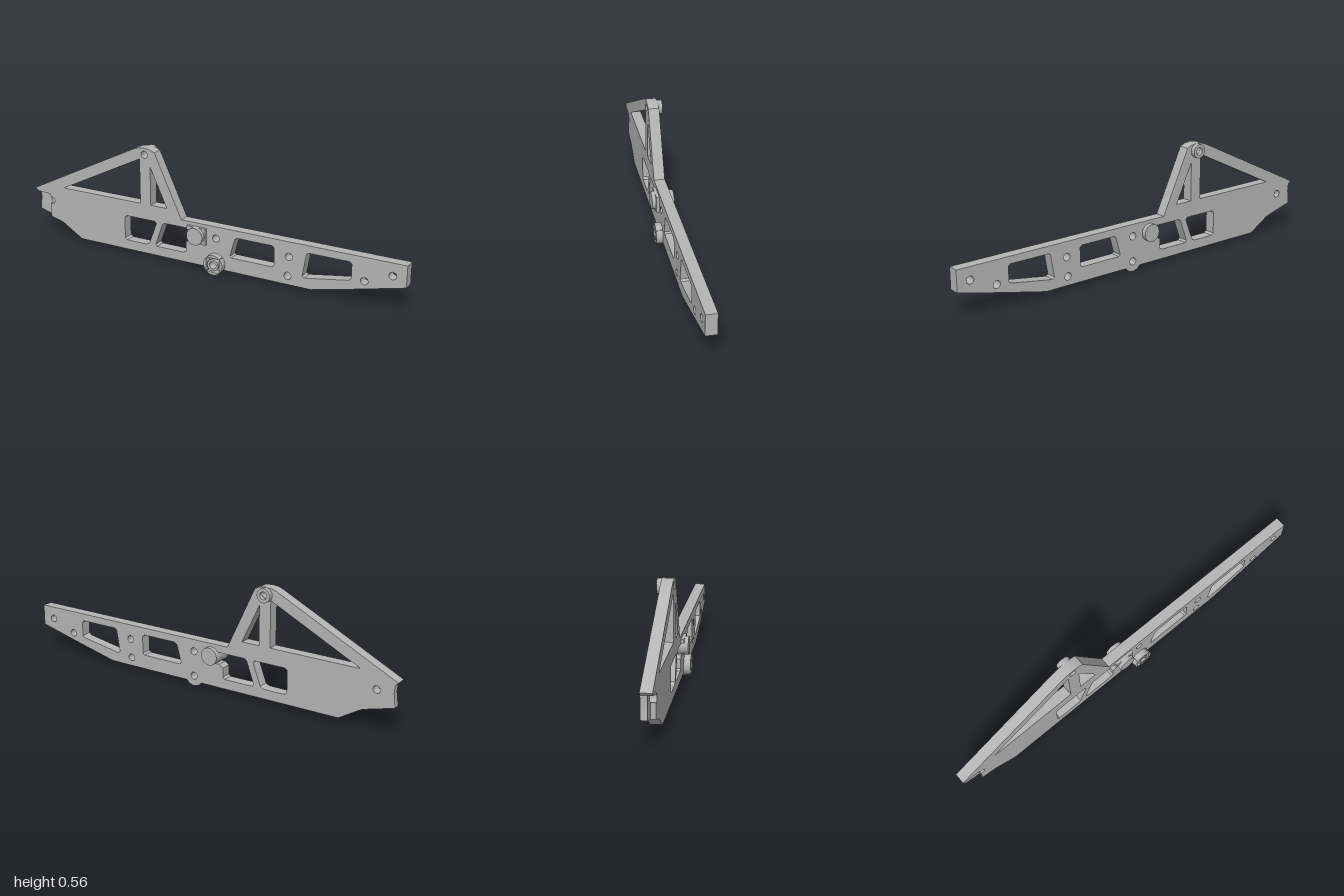
import * as THREE from 'three';
import { toCreasedNormals } from 'three/addons/utils/BufferGeometryUtils.js';

const BACK = -0.031, FRONT = 0.022, HOLE = 0.018;

export function createModel() {
  const group = new THREE.Group();
  group.name = 'sidePlateAssembly';
  const grey = new THREE.MeshStandardMaterial({ color: 0xb4b4b4 });
  grey.name = 'grey';

  // Extrudes a shape between two depths
  const slab = (name, shape, z0, z1) => {
    let geo = new THREE.ExtrudeGeometry(shape, { depth: z1 - z0, bevelEnabled: false, curveSegments: 24 });
    geo = toCreasedNormals(geo, 0.5);
    geo.translate(0, 0, z0);
    const mesh = new THREE.Mesh(geo, grey);
    mesh.name = name;
    group.add(mesh);
  };
  const path = (points) => new THREE.Path(points.map(([x, y]) => new THREE.Vector2(x, y)));
  const circle = (x, y, r, Kind = THREE.Path) => {
    const c = new Kind();
    c.absarc(x, y, r, 0, Math.PI * 2, false);
    return c;
  };

  // Main plate outline, anticlockwise from the lower left
  const plate = new THREE.Shape();
  plate.moveTo(-0.907, 0.11);
  plate.lineTo(-0.834, 0.09);
  plate.lineTo(-0.722, 0.022);
  plate.lineTo(0.0136, 0.022);
  plate.absarc(0.055, 0.05, 0.05, Math.PI + 0.594, Math.PI * 2 - 0.594, false);
  [[0.55, 0.022], [0.754, 0.07], [1, 0.13], [1, 0.234], [-0.134, 0.234], [-0.28, 0.545],
    [-0.305, 0.556], [-0.337, 0.56], [-0.37, 0.557], [-0.396, 0.548],
    [-1, 0.25], [-0.985, 0.235], [-0.907, 0.23]].forEach(([x, y]) => plate.lineTo(x, y));
  plate.absarc(-0.9, 0.198, HOLE, 1.97, -1.97, true);
  plate.closePath();

  // Windows and truss openings
  const openings = [
    [[-0.82, 0.277], [-0.364, 0.502], [-0.364, 0.277]],
    [[-0.305, 0.47], [-0.214, 0.277], [-0.305, 0.277]],
    [[-0.457, 0.188], [-0.445, 0.198], [-0.285, 0.198], [-0.275, 0.188], [-0.316, 0.08], [-0.332, 0.07], [-0.445, 0.07], [-0.457, 0.08]],
    [[-0.24, 0.19], [-0.228, 0.198], [-0.06, 0.198], [-0.06, 0.14], [-0.09, 0.14], [-0.11, 0.125], [-0.11, 0.08], [-0.12, 0.07], [-0.272, 0.07], [-0.28, 0.08]],
    [[0.155, 0.19], [0.168, 0.198], [0.35, 0.198], [0.36, 0.188], [0.36, 0.103], [0.35, 0.093], [0.138, 0.093], [0.13, 0.1]],
    [[0.522, 0.19], [0.533, 0.198], [0.733, 0.198], [0.743, 0.188], [0.743, 0.118], [0.73, 0.108], [0.515, 0.072], [0.504, 0.08]],
  ];
  const holes = [[0.055, 0.175], [0.435, 0.16], [0.43, 0.065], [0.805, 0.12], [0.935, 0.173],
    [-0.337, 0.527], [0.055, 0.05]];
  openings.forEach((o) => plate.holes.push(path(o)));
  holes.forEach(([x, y]) => plate.holes.push(circle(x, y, HOLE)));
  slab('mainPlate', plate, BACK, FRONT);

  // Thinner tongue at the pointed end
  const tongue = new THREE.Shape();
  tongue.moveTo(-0.907, 0.23);
  [[-0.985, 0.235], [-0.982, 0.2], [-0.99, 0.133], [-0.907, 0.11]].forEach(([x, y]) => tongue.lineTo(x, y));
  tongue.absarc(-0.9, 0.198, HOLE, -1.97, 1.97 - Math.PI * 2, true);
  tongue.closePath();
  slab('endTongue', tongue, BACK, -0.001);

  // Ring behind the peak and ring in the lower socket
  const ring = (name, x, y, r, z0, z1) => {
    const s = circle(x, y, r, THREE.Shape);
    s.holes.push(circle(x, y, HOLE));
    slab(name, s, z0, z1);
  };
  ring('peakBoss', -0.337, 0.525, 0.034, -0.053, BACK);
  ring('socketRing', 0.055, 0.05, 0.029, FRONT, 0.054);

  // Four rim segments around the square socket
  for (let i = 0; i < 4; i++) {
    const mid = i * Math.PI / 2;
    const segment = new THREE.Shape();
    segment.absarc(0.055, 0.05, 0.05, mid - 0.77, mid + 0.77, false);
    segment.closePath();
    slab('socketRim' + (i + 1), segment, FRONT, 0.054);
  }

  // Pivot pin through the plate with its stepped pad
  slab('pivotPin', circle(-0.045, 0.175, 0.043, THREE.Shape), -0.053, 0.054);
  const pad = new THREE.Shape([[-0.097, 0.198], [-0.06, 0.198], [-0.06, 0.134], [0.005, 0.134],
    [0.005, 0.217], [-0.097, 0.217]].map(([x, y]) => new THREE.Vector2(x, y)));
  slab('pivotPad', pad, FRONT, 0.036);

  return group;
}
